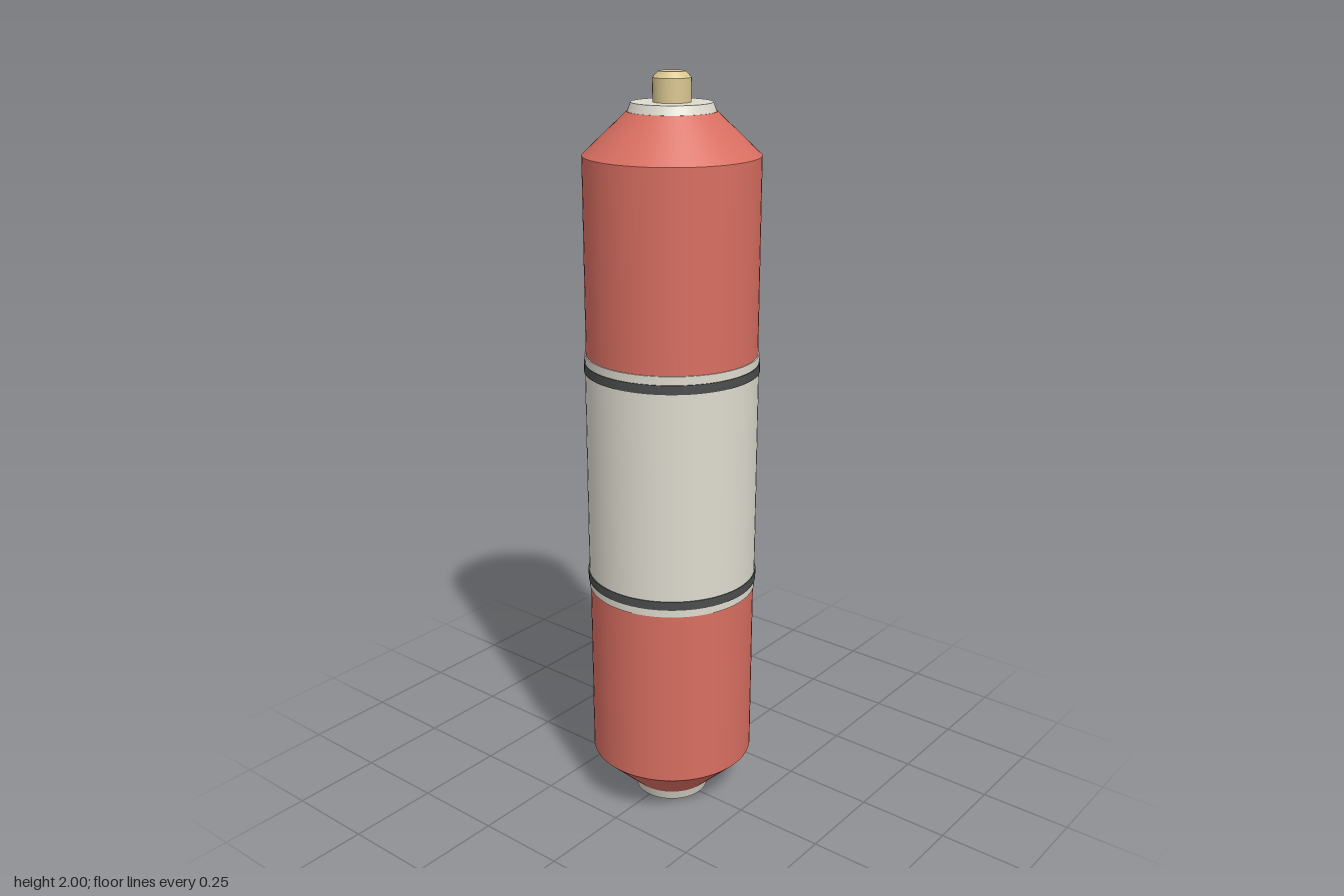
import * as THREE from 'three';

const material = (name, color) => {
  const m = new THREE.MeshStandardMaterial({ color });
  m.name = name;
  return m;
};

export function createModel() {
  const red = material('red paint', 0xd86e61);
  const cream = material('cream', 0xdedbcf);
  const dark = material('dark band', 0x4b4d4c);
  const brass = material('brass', 0xd9c691);
  const model = new THREE.Group();
  model.name = 'canister';

  // Adds a closed round section between two heights
  const section = (name, mat, y0, y1, r0, r1 = r0, parent = model) => {
    const mesh = new THREE.Mesh(new THREE.CylinderGeometry(r1, r0, y1 - y0, 64), mat);
    mesh.position.y = (y0 + y1) / 2;
    mesh.name = name;
    parent.add(mesh);
  };

  // Painted body with conical ends
  const body = new THREE.Group();
  body.name = 'body';
  model.add(body);
  section('lowerCone', red, 0.03, 0.14, 0.112, 0.224, body);
  section('barrel', red, 0.14, 1.8, 0.224, 0.224, body);
  section('upperCone', red, 1.8, 1.905, 0.224, 0.112, body);

  // Wide sleeve with a dark band near each end
  section('sleeve', cream, 0.64, 1.295, 0.227);
  section('lowerBand', dark, 0.661, 0.685, 0.2295);
  section('upperBand', dark, 1.249, 1.273, 0.2295);

  // Slightly tapered end collars
  section('footCollar', cream, 0, 0.03, 0.102, 0.112);
  section('topCollar', cream, 1.9, 1.927, 0.112, 0.102);

  // Valve with a bevelled tip
  const valve = new THREE.Group();
  valve.name = 'valve';
  model.add(valve);
  section('valveStem', brass, 1.927, 1.985, 0.048, 0.048, valve);
  section('valveTip', brass, 1.985, 2, 0.048, 0.034, valve);

  return model;
}
